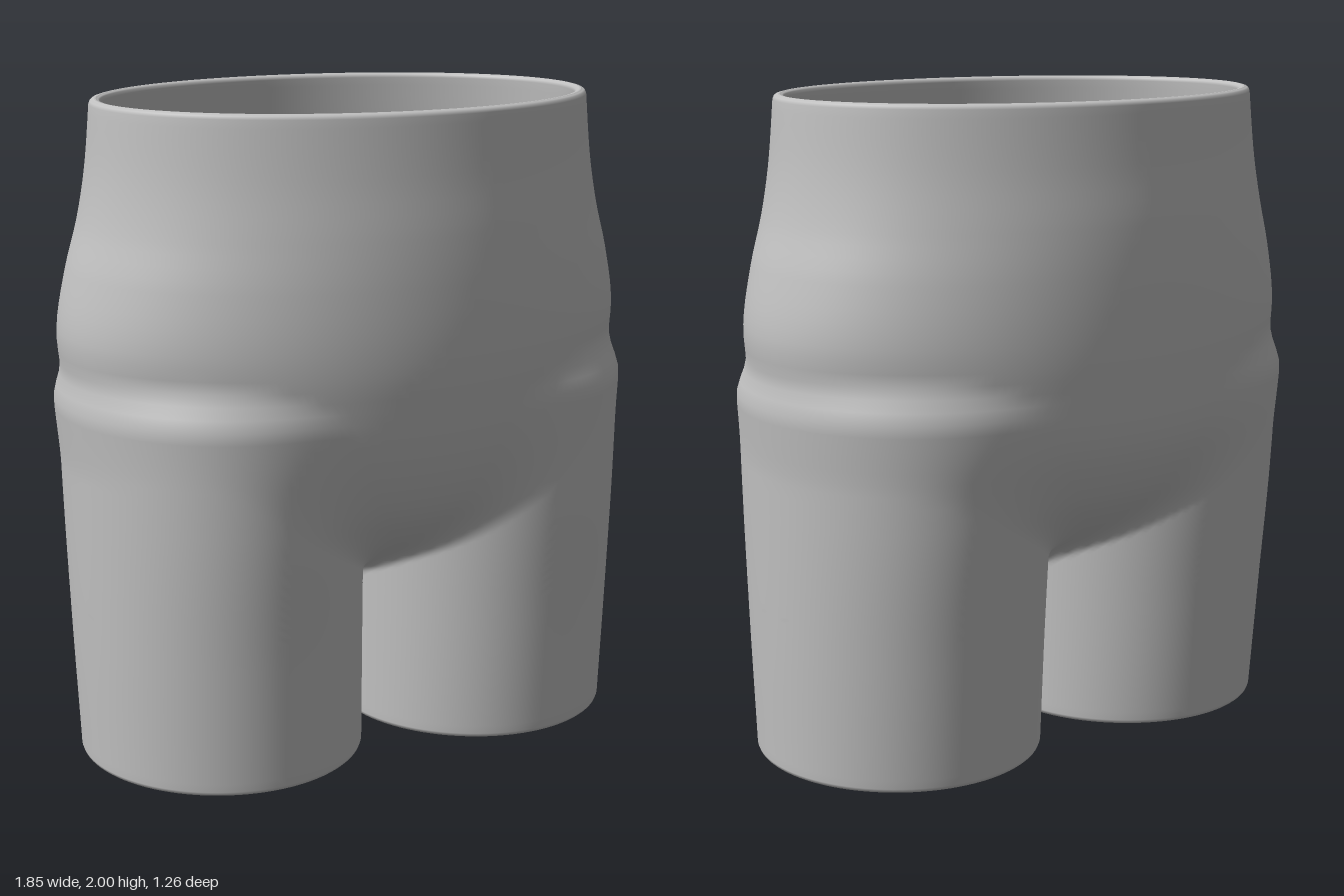
import * as THREE from 'three';

const WALL = 0.035, ROUND = 0.015, STRANDS = 96;
const CX = 0.455, CZ = 0.02; // axis each half is swept around

// Torso sections: height, half width, front z, back z
const TORSO = [
  [0.5, 0.25, 0.035, 0.005], [0.55, 0.4, 0.15, -0.1], [0.65, 0.6, 0.34, -0.3],
  [0.75, 0.71, 0.46, -0.44], [0.85, 0.78, 0.53, -0.53], [1.0, 0.855, 0.585, -0.6],
  [1.2, 0.903, 0.62, -0.625], [1.33, 0.915, 0.63, -0.632], [1.5, 0.882, 0.63, -0.632],
  [1.65, 0.838, 0.623, -0.625], [1.8, 0.81, 0.61, -0.61], [2, 0.79, 0.597, -0.595],
];
// Leg sections: height, outer x, front z, back z
const LEG = [
  [0, 0.887, 0.477, -0.42], [0.4, 0.9, 0.497, -0.455], [0.8, 0.908, 0.52, -0.495],
  [1.3, 0.914, 0.53, -0.52], [2, 0.914, 0.53, -0.52],
];

// Smooth interpolation of a section table at height y
function section(table, y) {
  const n = table.length - 1;
  y = THREE.MathUtils.clamp(y, table[0][0], table[n][0]);
  let i = 0;
  while (i < n - 1 && y > table[i + 1][0]) i++;
  const slope = (k, c) => {
    const p = table[Math.max(k - 1, 0)], q = table[Math.min(k + 1, n)];
    return (q[c] - p[c]) / (q[0] - p[0]);
  };
  const h = table[i + 1][0] - table[i][0], s = (y - table[i][0]) / h;
  return [1, 2, 3].map((c) => {
    const p = table[i][c], q = table[i + 1][c];
    return p + (q - p) * s * s * (3 - 2 * s)
      + h * s * (1 - s) * ((1 - s) * slope(i, c) - s * slope(i + 1, c));
  });
}

// Approximate signed distance to an ellipse
function ellipse(x, z, a, b) {
  const k0 = Math.hypot(x / a, z / b) + 1e-6;
  const k1 = Math.hypot(x / (a * a), z / (b * b)) + 1e-9;
  return Math.max((k0 * (k0 - 1)) / k1, -Math.min(a, b));
}

function softMin(a, b, k) {
  const h = Math.max(k - Math.abs(a - b), 0) / k;
  return Math.min(a, b) - h * h * k * 0.25;
}

// Body field: two legs melted into the torso
function body(x, y, z) {
  const [xo, lf, lb] = section(LEG, y);
  const inner = 0.015, c = (xo + inner) / 2, a = (xo - inner) / 2;
  const lz = (lf + lb) / 2, b = (lf - lb) / 2;
  const legs = softMin(ellipse(x - c, z - lz, a, b), ellipse(x + c, z - lz, a, b), 0.03)
    + 0.25 * THREE.MathUtils.smoothstep(y, 1.1, 1.4);
  const [w, tf, tb] = section(TORSO, y);
  const torso = ellipse(x, z - (tf + tb) / 2, w, (tf - tb) / 2) + 2 * Math.max(0, 0.5 - y);
  return softMin(legs, torso, 0.1);
}

// Outer or inner skin of the wall, with rounded ends
function skin(isInner) {
  return (x, y, z) => {
    const d = THREE.MathUtils.clamp(Math.min(y, 2 - y), 0, ROUND);
    const inset = ROUND - Math.sqrt(ROUND * ROUND - (ROUND - d) ** 2);
    return body(x, y, z) + (isInner ? WALL - inset : inset);
  };
}

function root(f, lo, hi) {
  if (f(hi) < 0) return hi;
  for (let i = 0; i < 26; i++) {
    const mid = (lo + hi) / 2;
    if (f(mid) < 0) lo = mid; else hi = mid;
  }
  return (lo + hi) / 2;
}

// One level of a half: from the back seam round the outside to the front seam
function makeRow(field, y) {
  const joined = field(0, y, CZ) < 0;
  let from = -Math.PI, to = Math.PI;
  if (joined) {
    to = Math.atan2(root((r) => field(0, y, CZ + r), 0, 0.8), -CX);
    from = Math.atan2(-root((r) => field(0, y, CZ - r), 0, 0.8), -CX);
  }
  const points = [];
  for (let j = 0; j <= STRANDS; j++) {
    const t = from + ((to - from) * j) / STRANDS, c = Math.cos(t), s = Math.sin(t);
    const limit = c < -1e-6 ? Math.min(CX / -c, 1.2) : 1.2;
    const r = root((q) => field(CX + q * c, y, CZ + q * s), 0.02, limit);
    const seam = joined && (j === 0 || j === STRANDS);
    points.push([seam ? 0 : CX + r * c, y, CZ + r * s]);
  }
  return { joined, points };
}

// Skin strips between rows; side -1 mirrors the half
function strip(rows, normalAt, side, flip) {
  const position = [], normal = [], index = [], n = STRANDS + 1;
  const face = (a, b, c) => (flip !== (side < 0) ? index.push(a, c, b) : index.push(a, b, c));
  rows.forEach((row, i) => {
    row.points.forEach((p, j) => {
      const m = normalAt(p);
      position.push(side * p[0], p[1], p[2]);
      normal.push(side * m[0], m[1], m[2]);
      if (i === rows.length - 1 || j === STRANDS) return;
      const a = i * n + j;
      face(a, a + n, a + 1);
      face(a + 1, a + n, a + n + 1);
    });
    // Close the crotch where the legs first meet
    const next = rows[i + 1];
    if (next && next.joined && !row.joined) face(i * n, i * n + 2 * n - 1, i * n + n);
  });
  const g = new THREE.BufferGeometry();
  g.setAttribute('position', new THREE.Float32BufferAttribute(position, 3));
  g.setAttribute('normal', new THREE.Float32BufferAttribute(normal, 3));
  g.setIndex(index);
  return g;
}

function gradient(field, sign) {
  const e = 0.002;
  return ([x, y, z]) => new THREE.Vector3(
    field(x + e, y, z) - field(x - e, y, z),
    field(x, y + e, z) - field(x, y - e, z),
    field(x, y, z + e) - field(x, y, z - e),
  ).normalize().multiplyScalar(sign).toArray();
}

export function createModel() {
  const group = new THREE.Group();
  const grey = new THREE.MeshStandardMaterial({ color: 0xc0c0c0, side: THREE.DoubleSide });
  grey.name = 'plain grey';

  // Heights: dense at the rounded ends and around the crotch
  const levels = [0, 0.002, 0.006, 0.015, 1.985, 1.994, 1.998, 2];
  for (let y = 0.04; y < 1.97; y += y > 0.42 && y < 0.8 ? 0.01 : 0.035) levels.push(y);
  levels.sort((a, b) => a - b);

  const outer = skin(false), inner = skin(true);
  const outerRows = levels.map((y) => makeRow(outer, y));
  const innerRows = levels.map((y) => makeRow(inner, y));
  const last = levels.length - 1;

  for (const side of [1, -1]) {
    const label = side > 0 ? 'left' : 'right';
    const add = (name, geometry) => {
      const mesh = new THREE.Mesh(geometry, grey);
      mesh.name = label + name;
      group.add(mesh);
    };
    add('OuterShell', strip(outerRows, gradient(outer, 1), side, false));
    add('InnerLining', strip(innerRows, gradient(inner, -1), side, true));
    add('WaistRim', strip([outerRows[last], innerRows[last]], () => [0, 1, 0], side, false));
    add('LegHem', strip([outerRows[0], innerRows[0]], () => [0, -1, 0], side, true));
  }
  return group;
}
